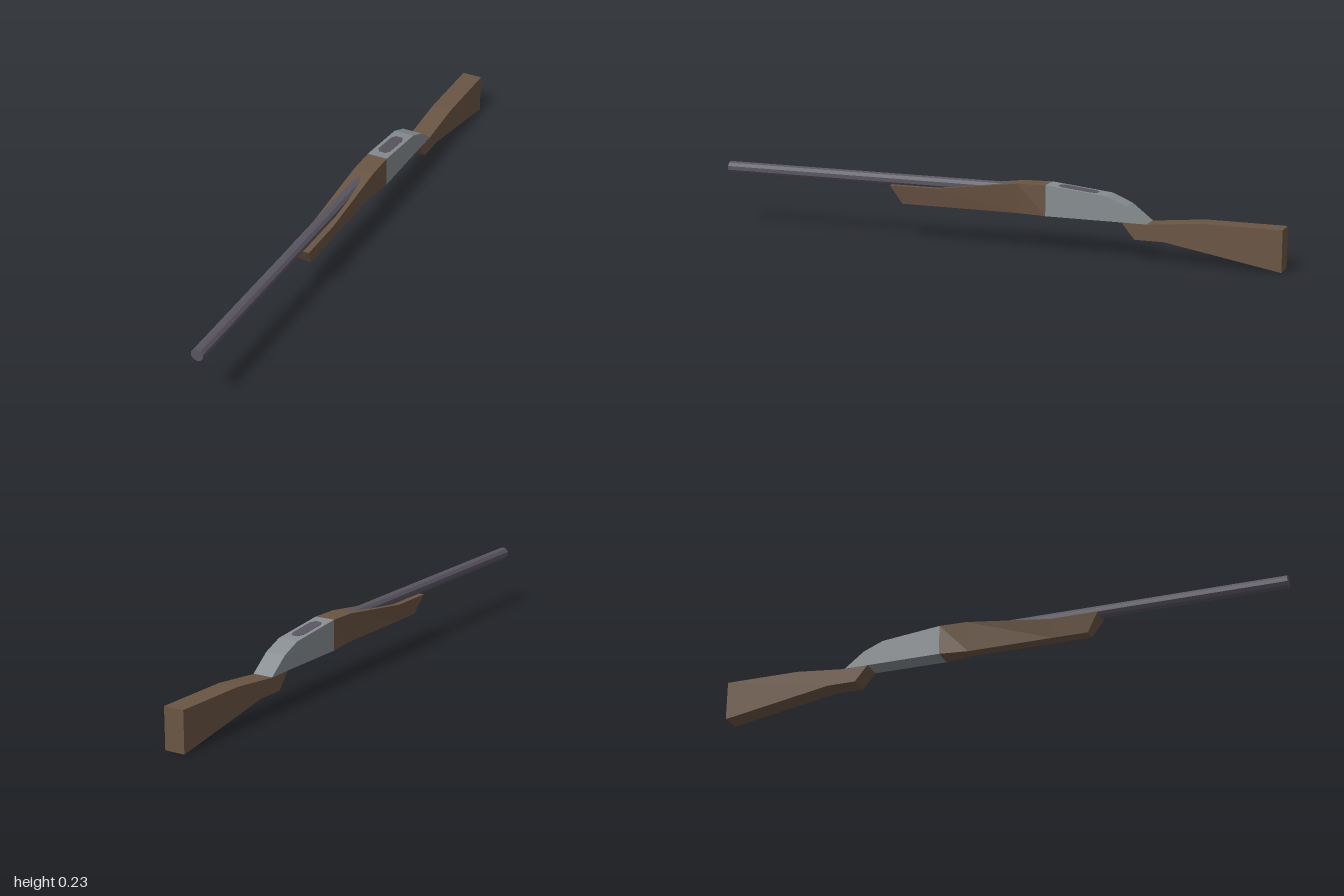
import * as THREE from 'three';

const HALF = 0.036; // half width of the body

function material(name, color, options = {}) {
  const m = new THREE.MeshStandardMaterial({ color, flatShading: true, ...options });
  m.name = name;
  return m;
}

// Side profile given as [z, y] points, extruded across x
function profilePart(points) {
  const shape = new THREE.Shape(points.map(([z, y]) => new THREE.Vector2(-z, y)));
  const geo = new THREE.ExtrudeGeometry(shape, { depth: HALF * 2, bevelEnabled: false });
  return geo.translate(0, 0, -HALF).rotateY(Math.PI / 2);
}

// Four-cornered sections, front to back: [zTop, yTop, zBottom, halfBottom]
function foreEndGeometry(sections, yBottom) {
  const pos = [];
  const idx = [];
  for (const [zt, yt, zb, hb] of sections) {
    pos.push(-HALF, yt, zt, HALF, yt, zt, hb, yBottom, zb, -hb, yBottom, zb);
  }
  for (let s = 0; s < sections.length - 1; s++) {
    for (let k = 0; k < 4; k++) {
      const a = s * 4 + k, b = s * 4 + (k + 1) % 4;
      idx.push(a, b, b + 4, a, b + 4, a + 4);
    }
  }
  const e = (sections.length - 1) * 4;
  idx.push(0, 2, 1, 0, 3, 2, e, e + 1, e + 2, e, e + 2, e + 3);
  const geo = new THREE.BufferGeometry();
  geo.setAttribute('position', new THREE.Float32BufferAttribute(pos, 3));
  geo.setIndex(idx);
  const flat = geo.toNonIndexed();
  flat.computeVertexNormals();
  return flat;
}

export function createModel() {
  const group = new THREE.Group();
  const wood = material('wood', 0x6a5543);
  const steel = material('steel', 0x868c90);
  const darkSteel = material('dark steel', 0x585560);

  const add = (name, geo, mat) => {
    const mesh = new THREE.Mesh(geo, mat);
    mesh.name = name;
    group.add(mesh);
    return mesh;
  };

  // Shoulder stock
  add('stock', profilePart([
    [-0.465, 0.122], [-0.55, 0.121], [-0.73, 0.139], [-1, 0.139],
    [-1, 0], [-0.61, 0.068], [-0.51, 0.068],
  ]), wood);

  // Metal body with a sloping rear
  add('receiver', profilePart([
    [-0.2, 0.122], [-0.2, 0.227], [-0.41, 0.205], [-0.48, 0.176], [-0.55, 0.122],
  ]), steel);

  // Wooden fore-end, narrower underneath and flaring into the receiver
  add('foreEnd', foreEndGeometry([
    [0.365, 0.186, 0.325, 0.022],
    [0.2, 0.186, 0.2, 0.022],
    [-0.1, 0.225, -0.1, 0.022],
    [-0.2, 0.227, -0.2, HALF],
  ], 0.122), wood);

  // Barrel, sinking into the fore-end
  const barrel = new THREE.CylinderGeometry(0.0215, 0.0215, 1.18, 10).rotateX(Math.PI / 2);
  add('barrel', barrel.translate(0, 0.2, 0.41), darkSteel);

  // Dark port, a thin plate lying on the receiver's slope
  const port = new THREE.Shape([
    [-0.012, -0.068], [0.012, -0.068], [0.022, -0.05], [0.022, 0.05],
    [0.012, 0.068], [-0.012, 0.068], [-0.022, 0.05], [-0.022, -0.05],
  ].map(([x, y]) => new THREE.Vector2(x, y)));
  const portGeo = new THREE.ExtrudeGeometry(port, { depth: 0.003, bevelEnabled: false });
  const plate = add('port', portGeo.translate(0, 0, -0.002).rotateX(-Math.PI / 2), darkSteel);
  plate.position.set(0, 0.216, -0.305);
  plate.rotation.x = -Math.atan2(0.022, 0.21);

  return group;
}
